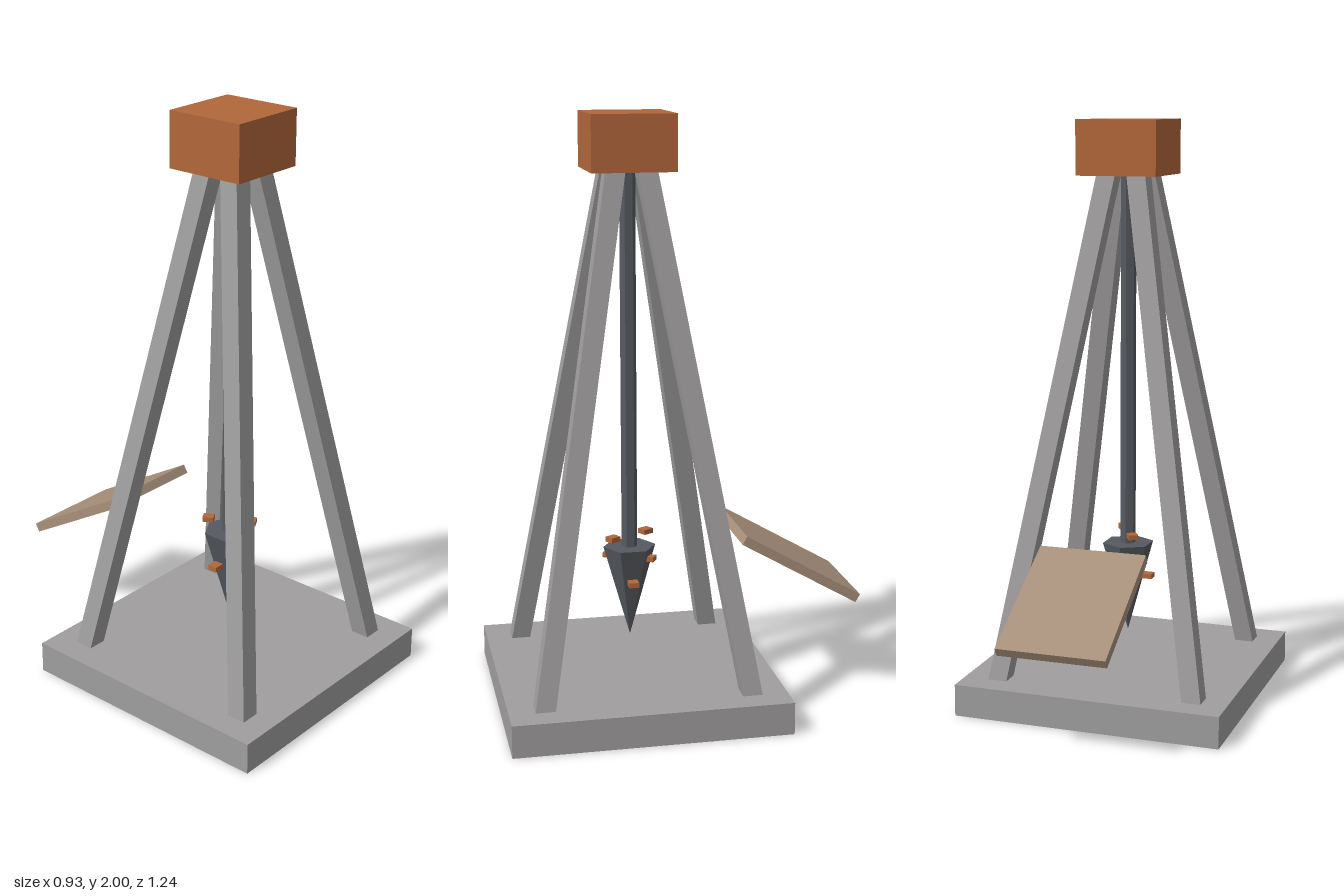
import * as THREE from 'three';

const mat = (name, color) => {
  const m = new THREE.MeshStandardMaterial({ color, flatShading: true });
  m.name = name;
  return m;
};

export function createModel() {
  const stone = mat('stone grey', 0xa09e9f);
  const steel = mat('dark steel', 0x565a60);
  const copper = mat('copper', 0xb2673a);
  const panelTan = mat('panel tan', 0xa8907a);

  const model = new THREE.Group();
  model.name = 'drillTower';
  // The tower stands forward of the centre, the panel hangs behind it
  const tower = new THREE.Group();
  tower.name = 'tower';
  tower.position.z = 0.152;
  model.add(tower);

  const add = (parent, name, geometry, material, x, y, z) => {
    const mesh = new THREE.Mesh(geometry, material);
    mesh.name = name;
    mesh.position.set(x, y, z);
    parent.add(mesh);
    return mesh;
  };

  add(tower, 'base', new THREE.BoxGeometry(0.93, 0.11, 0.93), stone, 0, 0.055, 0);
  add(tower, 'cap', new THREE.BoxGeometry(0.28, 0.185, 0.28), copper, 0, 1.9075, 0);

  // Four square legs leaning in towards the cap
  const y0 = 0.09, y1 = 1.83;
  for (const sx of [-1, 1]) for (const sz of [-1, 1]) {
    const geo = new THREE.BoxGeometry(0.066, y1 - y0, 0.066);
    const p = geo.attributes.position;
    for (let i = 0; i < p.count; i++) {
      const y = p.getY(i) + (y0 + y1) / 2;
      const offset = 0.345 - (y - 0.11) * 0.171;
      p.setXYZ(i, p.getX(i) + sx * offset, y, p.getZ(i) + sz * offset);
    }
    geo.computeVertexNormals();
    add(tower, 'leg', geo, stone, 0, 0, 0);
  }

  // Six-sided shaft and drill point
  add(tower, 'shaft', new THREE.CylinderGeometry(0.027, 0.027, 1.32, 6), steel, 0, 1.17, 0);
  add(tower, 'drillPoint', new THREE.CylinderGeometry(0.09, 0, 0.32, 6), steel, 0, 0.375, 0);

  // Cutting teeth spiralling round the point, repeating after half a turn
  for (let i = 0; i < 6; i++) {
    const a = i * Math.PI / 3;
    const tooth = add(tower, 'tooth', new THREE.BoxGeometry(0.038, 0.017, 0.034), copper,
      0.073 * Math.cos(a), 0.42 + (i % 3) * 0.0765, -0.073 * Math.sin(a));
    tooth.rotation.y = a;
  }

  // Tilted panel behind the tower
  const panel = add(model, 'panel', new THREE.BoxGeometry(0.37, 0.032, 0.464), panelTan, 0, 0.469, -0.41);
  panel.rotation.x = -Math.PI / 6;

  return model;
}
